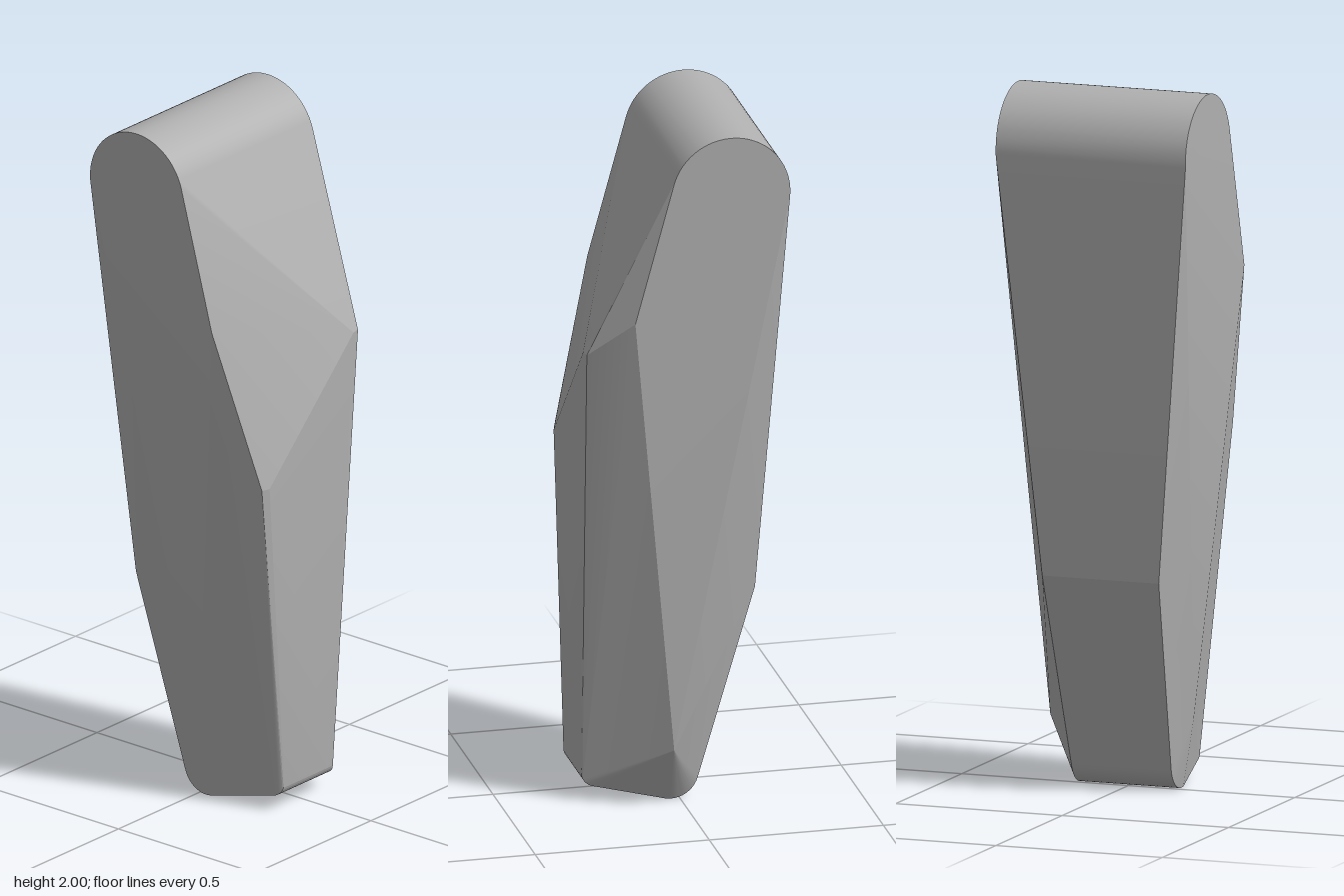
import * as THREE from 'three';
import { ConvexGeometry } from 'three/addons/geometries/ConvexGeometry.js';
import { toCreasedNormals } from 'three/addons/utils/BufferGeometryUtils.js';

export function createModel() {
  const group = new THREE.Group();
  group.name = 'taperedLever';
  const grey = new THREE.MeshStandardMaterial({ color: 0xb0b0b0 });
  grey.name = 'grey';

  const points = [];
  const add = (x, y, z) => points.push(new THREE.Vector3(x, y, z));
  // the same profile point at the front and back
  const pair = (x, y, z) => { add(x, y, z); add(x, y, -z); };
  // rounded run of paired points along an arc, in degrees
  const arc = (cx, cy, r, from, to, steps, z0, z1 = z0) => {
    for (let i = 0; i <= steps; i++) {
      const t = i / steps;
      const a = THREE.MathUtils.degToRad(from + (to - from) * t);
      pair(cx + r * Math.cos(a), cy + r * Math.sin(a), z0 + (z1 - z0) * t);
    }
  };

  // round head
  arc(-0.115, 1.83, 0.17, 12, 184, 40, 0.285);

  // shoulders where the flat ends finish
  pair(0.16, 1.47, 0.285);

  // skewed ridge on the +x side, with softened corners
  add(0.28, 1.36, -0.205);
  add(0.285, 1.36, -0.18);
  add(0.275, 1.0, 0.205);
  add(0.282, 1.0, 0.18);

  // bend on the -x side
  pair(-0.21, 0.62, 0.175);

  // lowest corners of the broad end faces
  add(0.04, 0.18, -0.25);
  add(0.03, 0.2, 0.185);

  // rounded toe and heel of the foot
  arc(0.025, 0.08, 0.08, 195, 280, 10, 0.15);
  arc(0.235, 0.08, 0.037, 285, 360, 6, 0.115, 0.105);

  const geometry = toCreasedNormals(new ConvexGeometry(points), 0.2);
  const body = new THREE.Mesh(geometry, grey);
  body.name = 'body';
  group.add(body);
  return group;
}
